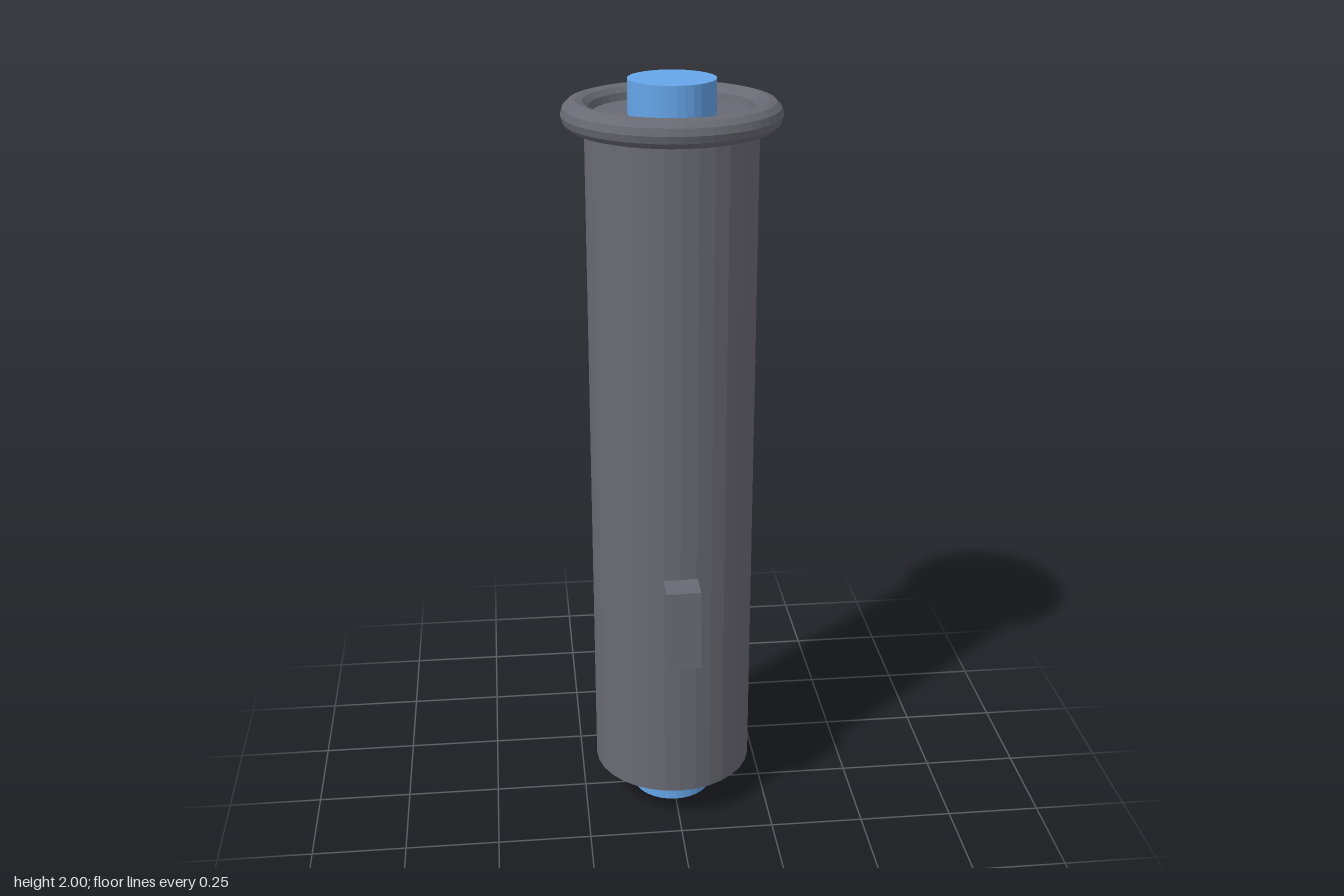
import * as THREE from 'three';

const AXIS_Z = -0.01;

export function createModel() {
  const group = new THREE.Group();
  const shell = new THREE.MeshStandardMaterial({ color: 0x6a6a74, flatShading: true });
  const core = new THREE.MeshStandardMaterial({ color: 0x66a6ea, flatShading: true });

  const add = (name, geometry, material, y, z = AXIS_Z) => {
    const mesh = new THREE.Mesh(geometry, material);
    mesh.name = name;
    mesh.position.set(0, y, z);
    group.add(mesh);
    return mesh;
  };

  // Upright cylinder spanning y0 to y1
  const post = (name, radius, y0, y1, material) =>
    add(name, new THREE.CylinderGeometry(radius, radius, y1 - y0, 32), material, (y0 + y1) / 2);

  // Main tube, closed inside the rim at half the rim's height
  post('body', 0.215, 0.1, 1.915, shell);

  // Inner rod showing at both ends
  post('coreRod', 0.109, 0, 2, core);

  // Rounded rim around the top
  const rim = new THREE.TorusGeometry(0.236, 0.036, 12, 48);
  rim.rotateX(Math.PI / 2);
  add('rim', rim, shell, 1.915);

  // Small switch block on the front
  add('switch', new THREE.BoxGeometry(0.09, 0.22, 0.09), shell, 0.64, 0.236);

  return group;
}
